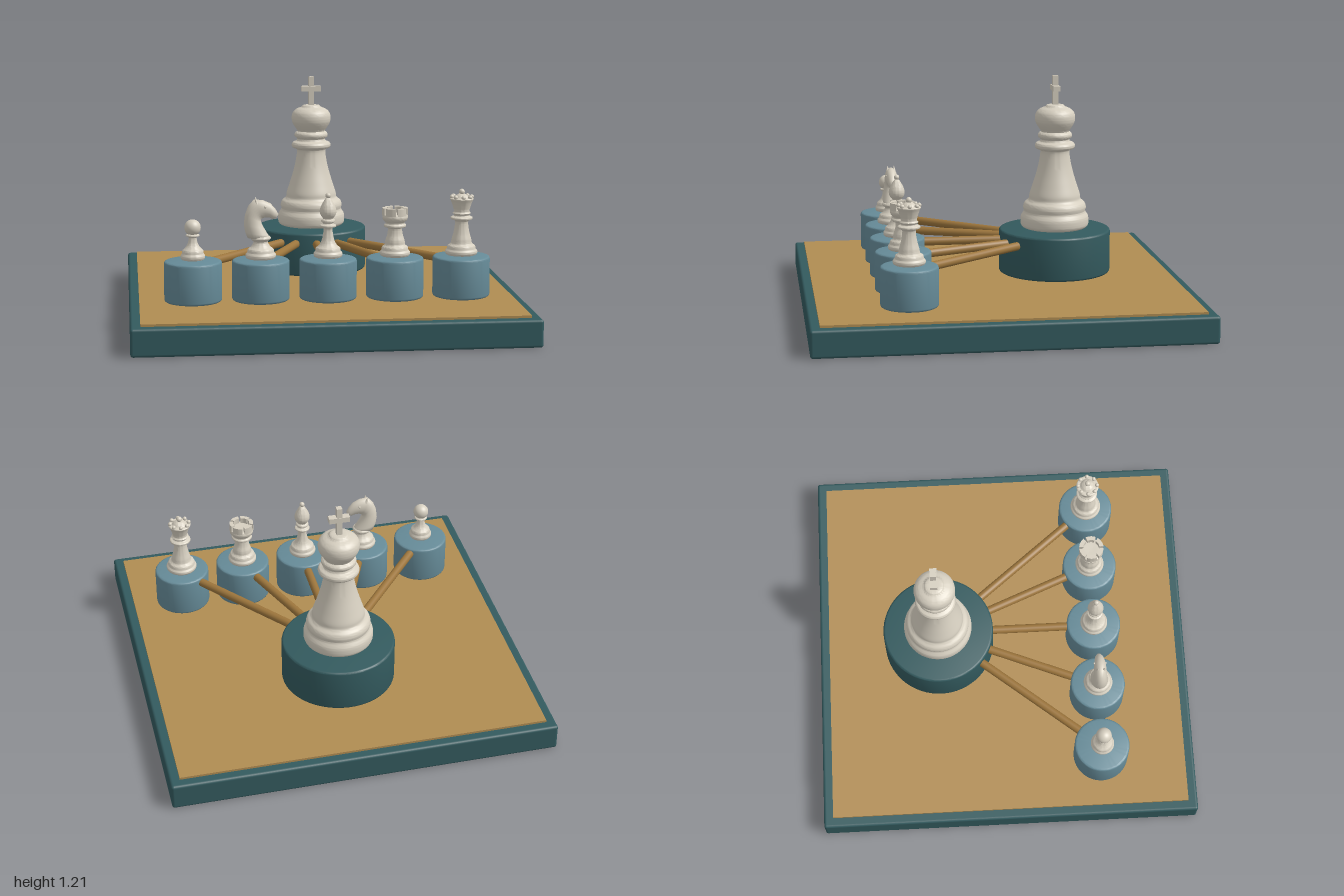
import * as THREE from 'three';
import { toCreasedNormals } from 'three/addons/utils/BufferGeometryUtils.js';
import { RoundedBoxGeometry } from 'three/addons/geometries/RoundedBoxGeometry.js';

const mat = (name, color) => new THREE.MeshStandardMaterial({ name, color });

export function createModel() {
  const teal = mat('dark teal', 0x335a5e);
  const blue = mat('dusty blue', 0x668b98);
  const tan = mat('tan board', 0xb08c52);
  const brass = mat('brown rod', 0x9c753c);
  const ivory = mat('ivory', 0xd6cfc0);

  const root = new THREE.Group();
  root.name = 'chessDisplay';

  const add = (parent, name, geometry, material, x = 0, y = 0, z = 0) => {
    const mesh = new THREE.Mesh(geometry, material);
    mesh.name = name;
    mesh.position.set(x, y, z);
    parent.add(mesh);
    return mesh;
  };

  // Turned shape through [radius, height] points, with rounded mouldings
  const turned = (points, segments = 40) => {
    const curve = new THREE.CatmullRomCurve3(
      points.map(([r, y]) => new THREE.Vector3(r, y, 0)), false, 'centripetal');
    const profile = curve.getPoints(points.length * 4)
      .map((p) => new THREE.Vector2(Math.max(p.x, 0), p.y));
    profile[0].x = profile[profile.length - 1].x = 0;
    return toCreasedNormals(new THREE.LatheGeometry(profile, segments), 0.7);
  };

  // Cylinder with softly rounded rims
  const drum = (r, h) => {
    const b = 0.012;
    const profile = [new THREE.Vector2(0, 0)];
    for (let i = 0; i <= 4; i++) {
      const a = (i / 4) * Math.PI / 2;
      profile.push(new THREE.Vector2(r - b + b * Math.sin(a), b - b * Math.cos(a)));
    }
    for (let i = 0; i <= 4; i++) {
      const a = (i / 4) * Math.PI / 2;
      profile.push(new THREE.Vector2(r - b + b * Math.cos(a), h - b + b * Math.sin(a)));
    }
    profile.push(new THREE.Vector2(0, h));
    return toCreasedNormals(new THREE.LatheGeometry(profile, 64), 0.5);
  };

  const group = (name, x, y, z) => {
    const g = new THREE.Group();
    g.name = name;
    g.position.set(x, y, z);
    root.add(g);
    return g;
  };

  // Board
  add(root, 'boardBase', new RoundedBoxGeometry(2, 0.14, 2, 3, 0.014), teal, 0, 0.07, 0);
  add(root, 'boardTop', new THREE.BoxGeometry(1.9, 0.02, 1.9), tan, 0, 0.142, 0);

  // Large pedestal and king
  const kingZ = -0.345, rowZ = 0.495;
  add(root, 'kingPedestal', drum(0.295, 0.23), teal, 0, 0.165, kingZ);
  const king = group('king', 0, 0.403, kingZ);
  add(king, 'kingBody', turned([
    [0, 0], [0.165, 0], [0.178, 0.012], [0.181, 0.035], [0.178, 0.06], [0.165, 0.082], [0.163, 0.092],
    [0.167, 0.105], [0.16, 0.13], [0.138, 0.15], [0.134, 0.175], [0.118, 0.225], [0.098, 0.29],
    [0.084, 0.35], [0.077, 0.405], [0.08, 0.415], [0.1, 0.422], [0.106, 0.436], [0.1, 0.45],
    [0.08, 0.46], [0.076, 0.472], [0.088, 0.482], [0.09, 0.495], [0.084, 0.506], [0.074, 0.512],
    [0.085, 0.53], [0.102, 0.56], [0.106, 0.585], [0.1, 0.612], [0.08, 0.632], [0.052, 0.644],
    [0.045, 0.652], [0, 0.655]], 56), ivory);
  add(king, 'crossPost', new THREE.BoxGeometry(0.028, 0.165, 0.03), ivory, 0, 0.725, 0);
  add(king, 'crossArm', new THREE.BoxGeometry(0.106, 0.028, 0.036), ivory, 0, 0.742, 0);

  // Row of small pedestals, each joined to the king by a rod
  const columns = [-0.68, -0.34, 0, 0.34, 0.68];
  for (const x of columns) {
    add(root, 'pedestal', drum(0.145, 0.205), blue, x, 0.165, rowZ);
    const hub = new THREE.Vector3(0, 0.34, kingZ);
    const end = new THREE.Vector3(x, 0.34, rowZ);
    const dir = end.clone().sub(hub).normalize();
    const from = hub.clone().addScaledVector(dir, 0.22);
    const to = end.clone().addScaledVector(dir, -0.1);
    const rod = add(root, 'connectingRod',
      new THREE.CylinderGeometry(0.022, 0.022, from.distanceTo(to), 20), brass);
    rod.position.copy(from).lerp(to, 0.5);
    rod.quaternion.setFromUnitVectors(new THREE.Vector3(0, 1, 0), dir);
  }
  const [pawn, knight, bishop, rook, queen] =
    ['pawn', 'knight', 'bishop', 'rook', 'queen'].map((n, i) => group(n, columns[i], 0.377, rowZ));

  // Moulded foot shared by the small pieces
  const foot = (r) => [[0, 0], [r * 0.92, 0], [r, 0.008], [r, 0.02], [r * 0.9, 0.03],
    [r * 0.88, 0.036], [r * 0.86, 0.045], [r * 0.68, 0.056]];

  // Pawn
  add(pawn, 'pawnBody', turned([...foot(0.061), [0.028, 0.075], [0.021, 0.1], [0.021, 0.113],
    [0.034, 0.118], [0.034, 0.124], [0.02, 0.13], [0, 0.135]]), ivory);
  add(pawn, 'pawnHead', new THREE.SphereGeometry(0.041, 32, 20), ivory, 0, 0.161, 0);

  // Knight: foot, then elliptical sections swept from chest to muzzle
  add(knight, 'knightFoot', turned([...foot(0.076), [0.04, 0.072], [0.036, 0.085], [0.046, 0.093],
    [0.052, 0.102], [0.046, 0.111], [0, 0.115]]), ivory);
  // back x, back y, front x, front y, half thickness
  const sections = [
    [-0.066, 0.104, 0.05, 0.104, 0.046], [-0.078, 0.135, 0.038, 0.118, 0.046],
    [-0.084, 0.175, 0.016, 0.155, 0.041], [-0.078, 0.222, 0.002, 0.185, 0.036],
    [-0.062, 0.265, 0.002, 0.196, 0.034], [-0.033, 0.298, 0.01, 0.202, 0.033],
    [0.012, 0.294, 0.026, 0.206, 0.031], [0.05, 0.277, 0.046, 0.204, 0.026],
    [0.076, 0.247, 0.061, 0.197, 0.021], [0.09, 0.222, 0.072, 0.199, 0.014]];
  const ring = 24, positions = [], index = [];
  for (const [bx, by, fx, fy, d] of sections) {
    for (let i = 0; i < ring; i++) {
      const a = (i / ring) * Math.PI * 2, c = (1 + Math.cos(a)) / 2;
      positions.push(bx + (fx - bx) * c, by + (fy - by) * c, d * Math.sin(a));
    }
  }
  for (let s = 0; s < sections.length - 1; s++) {
    for (let i = 0; i < ring; i++) {
      const a = s * ring + i, b = s * ring + (i + 1) % ring;
      index.push(a, a + ring, b, b, a + ring, b + ring);
    }
  }
  const last = (sections.length - 1) * ring;
  for (let i = 1; i < ring - 1; i++) {
    index.push(0, i, i + 1, last, last + i + 1, last + i);
  }
  const horse = new THREE.BufferGeometry();
  horse.setAttribute('position', new THREE.Float32BufferAttribute(positions, 3));
  horse.setIndex(index);
  horse.computeVertexNormals();
  add(knight, 'knightHead', horse, ivory).material.side = THREE.DoubleSide;
  for (const side of [-1, 1]) {
    const ear = add(knight, 'ear', new THREE.ConeGeometry(0.012, 0.04, 12), ivory, -0.022, 0.291, side * 0.017);
    ear.rotation.z = 0.2;
    add(knight, 'eye', new THREE.SphereGeometry(0.006, 12, 8), ivory, 0.022, 0.262, side * 0.029);
  }

  // Bishop
  add(bishop, 'bishopBody', turned([...foot(0.072), [0.036, 0.075], [0.027, 0.105], [0.023, 0.14],
    [0.025, 0.148], [0.04, 0.154], [0.04, 0.162], [0.026, 0.168], [0.026, 0.174], [0.035, 0.18],
    [0.034, 0.188], [0.025, 0.194], [0.036, 0.21], [0.042, 0.23], [0.037, 0.254], [0.024, 0.28],
    [0.01, 0.3], [0, 0.303]]), ivory);
  add(bishop, 'bishopTip', new THREE.SphereGeometry(0.014, 20, 14), ivory, 0, 0.311, 0);

  // Rook with six battlements
  add(rook, 'rookBody', turned([...foot(0.076), [0.049, 0.078], [0.04, 0.105], [0.036, 0.135],
    [0.038, 0.143], [0.054, 0.148], [0.056, 0.157], [0.048, 0.165], [0.05, 0.172], [0.062, 0.185],
    [0.064, 0.208], [0.06, 0.212], [0, 0.212]]), ivory);
  for (let i = 0; i < 6; i++) {
    const a = (i / 6) * Math.PI * 2, w = 0.43;
    const sector = new THREE.Shape();
    sector.absarc(0, 0, 0.065, a - w, a + w, false);
    sector.absarc(0, 0, 0.043, a + w, a - w, true);
    const wall = new THREE.ExtrudeGeometry(sector, { depth: 0.038, bevelEnabled: false, curveSegments: 8 });
    wall.rotateX(-Math.PI / 2);
    add(rook, 'battlement', toCreasedNormals(wall, 0.6), ivory, 0, 0.206, 0);
  }

  // Queen with a ring of crown beads
  add(queen, 'queenBody', turned([...foot(0.081), [0.05, 0.078], [0.041, 0.11], [0.034, 0.15],
    [0.034, 0.17], [0.038, 0.176], [0.055, 0.182], [0.055, 0.191], [0.039, 0.198], [0.039, 0.204],
    [0.046, 0.211], [0.039, 0.22], [0.043, 0.24], [0.054, 0.272], [0.06, 0.286], [0.054, 0.29],
    [0.04, 0.29], [0.03, 0.301], [0.014, 0.31], [0, 0.312]]), ivory);
  for (let i = 0; i < 8; i++) {
    const a = (i / 8) * Math.PI * 2;
    add(queen, 'crownBead', new THREE.SphereGeometry(0.011, 14, 10), ivory,
      Math.cos(a) * 0.051, 0.295, Math.sin(a) * 0.051);
  }
  add(queen, 'crownTip', new THREE.SphereGeometry(0.015, 20, 14), ivory, 0, 0.32, 0);

  return root;
}
